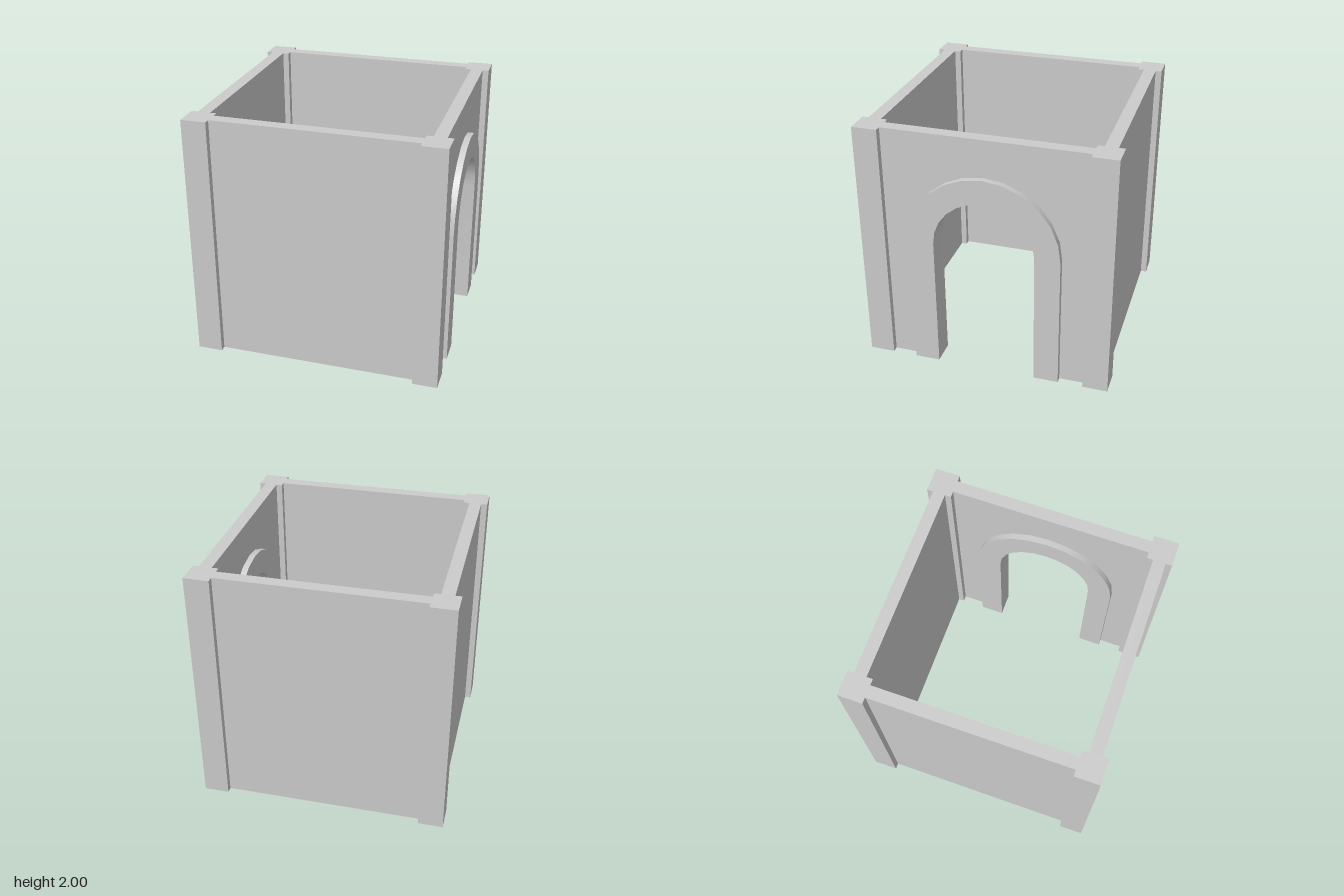
import * as THREE from 'three';
import { toCreasedNormals } from 'three/addons/utils/BufferGeometryUtils.js';

const SIZE = 2, POST = 0.2, WALL = 0.1;
const SPAN = SIZE - 2 * POST; // wall length between posts
const OFFSET = 0.9;           // centre line of posts and walls
const SPRING = 1.1;           // height where the arch starts to curve

const material = new THREE.MeshStandardMaterial({ color: 0xcccccc });

function addMesh(parent, name, geometry, x, y, z) {
  const mesh = new THREE.Mesh(geometry, material);
  mesh.name = name;
  mesh.position.set(x, y, z);
  parent.add(mesh);
  return mesh;
}

// Outline path of a doorway opening, run from its right foot over the top to its left foot
function traceOpening(shape, radius) {
  shape.lineTo(radius, 0);
  shape.lineTo(radius, SPRING);
  shape.absarc(0, SPRING, radius, 0, Math.PI, false);
  shape.lineTo(-radius, 0);
}

// Extrude a shape drawn in z/y so that its thickness lies along x
function extrudeAcross(shape, thickness) {
  const geometry = new THREE.ExtrudeGeometry(shape, {
    depth: thickness, bevelEnabled: false, curveSegments: 6,
  });
  geometry.translate(0, 0, -thickness / 2);
  geometry.rotateY(Math.PI / 2);
  return toCreasedNormals(geometry, Math.PI / 6);
}

export function createModel() {
  const model = new THREE.Group();
  model.name = 'walledRoom';

  // Square corner posts
  const postGeometry = new THREE.BoxGeometry(POST, SIZE, POST);
  for (const x of [-1, 1]) {
    for (const z of [-1, 1]) {
      const name = (z > 0 ? 'front' : 'back') + (x > 0 ? 'Left' : 'Right') + 'Post';
      addMesh(model, name, postGeometry, x * OFFSET, SIZE / 2, z * OFFSET);
    }
  }

  // Plain walls
  const crossWall = new THREE.BoxGeometry(SPAN, SIZE, WALL);
  addMesh(model, 'frontWall', crossWall, 0, SIZE / 2, OFFSET);
  addMesh(model, 'backWall', crossWall, 0, SIZE / 2, -OFFSET);
  addMesh(model, 'rightWall', new THREE.BoxGeometry(WALL, SIZE, SPAN), -OFFSET, SIZE / 2, 0);

  // Wall with the doorway; its cut edge is buried inside the arch surround
  const doorWall = new THREE.Shape();
  doorWall.moveTo(-SPAN / 2, 0);
  doorWall.lineTo(-SPAN / 2, SIZE);
  doorWall.lineTo(SPAN / 2, SIZE);
  doorWall.lineTo(SPAN / 2, 0);
  traceOpening(doorWall, 0.5);
  addMesh(model, 'doorwayWall', extrudeAcross(doorWall, WALL), OFFSET, 0, 0);

  // Thick arched surround, standing proud on both faces of the wall
  const surround = new THREE.Shape();
  surround.moveTo(0.4, 0);
  traceOpening(surround, 0.6);
  surround.lineTo(-0.4, 0);
  surround.lineTo(-0.4, SPRING);
  surround.absarc(0, SPRING, 0.4, Math.PI, 0, true);
  addMesh(model, 'archSurround', extrudeAcross(surround, POST), OFFSET, 0, 0);

  return model;
}
